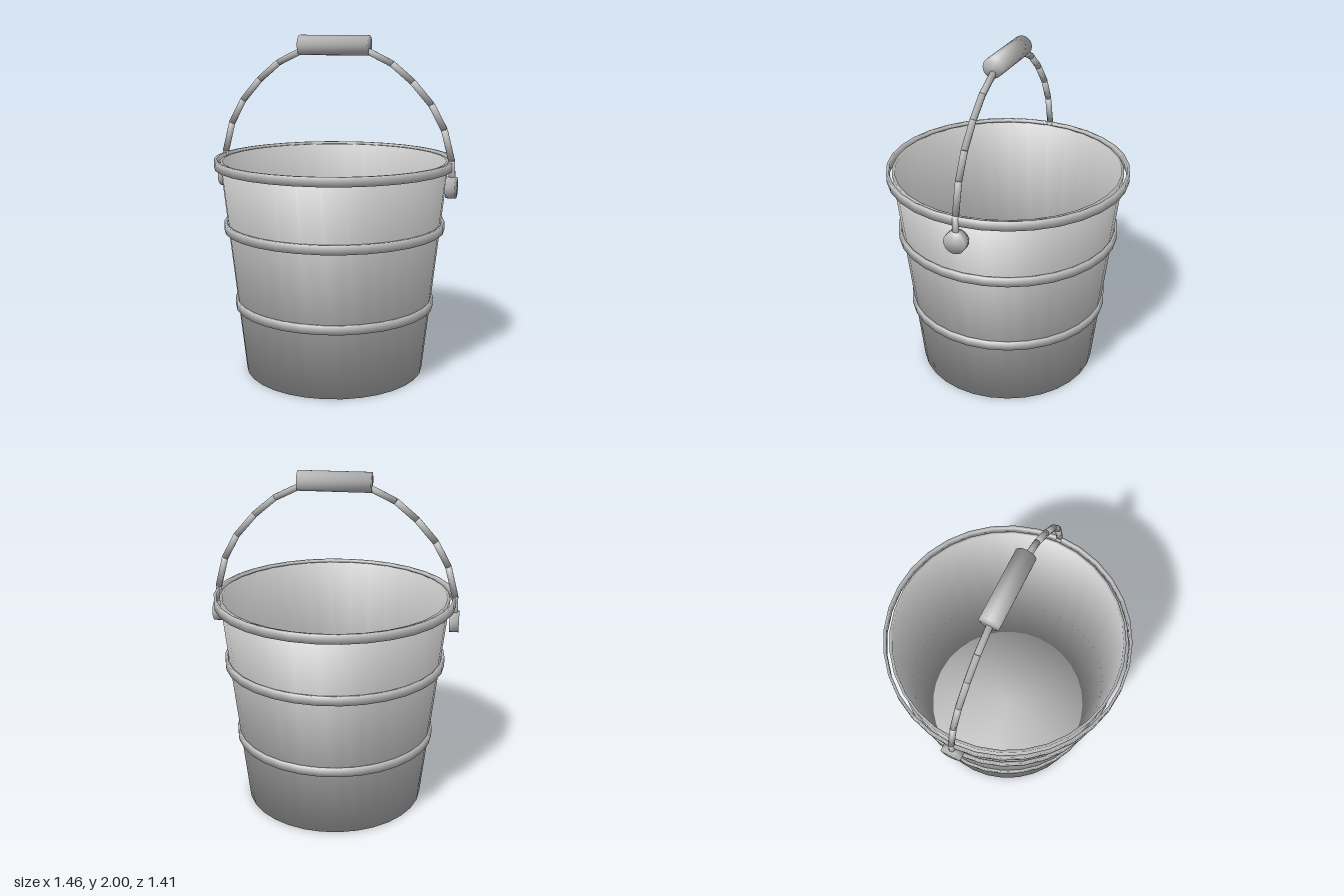
import * as THREE from 'three';

const metal = new THREE.MeshStandardMaterial({ color: 0xc0c0c0 });
metal.name = 'grey metal';

// Lathe of [radius, height] pairs whose edges are shaded softly,
// every ring taking the even average of its two neighbouring faces
function softLathe(profile, name, sides = 32) {
  const points = profile.map(([r, y]) => new THREE.Vector2(r, y));
  const geometry = new THREE.LatheGeometry(points, sides);
  const last = points.length - 1;
  const closed = points[0].equals(points[last]);
  const faces = points.slice(1).map((p, i) => {
    const d = p.clone().sub(points[i]).normalize();
    return new THREE.Vector2(d.y, -d.x);
  });
  const rings = points.map((p, j) => {
    const before = faces[j - 1] ?? faces[closed ? last - 1 : 0];
    const after = faces[j] ?? faces[closed ? 0 : last - 1];
    return before.clone().add(after).normalize();
  });
  const normal = geometry.attributes.normal;
  for (let i = 0; i < normal.count; i++) {
    const ring = rings[i % points.length];
    const a = (Math.floor(i / points.length) / sides) * Math.PI * 2;
    normal.setXYZ(i, ring.x * Math.sin(a), ring.y, ring.x * Math.cos(a));
  }
  const mesh = new THREE.Mesh(geometry, metal);
  mesh.name = name;
  return mesh;
}

// Hollow ring with a wall of even thickness, open at both ends
function sleeve(bottomRadius, topRadius, thickness, y0, y1, name) {
  return softLathe([
    [bottomRadius - thickness, y0], [bottomRadius, y0],
    [topRadius, y1], [topRadius - thickness, y1],
    [bottomRadius - thickness, y0],
  ], name);
}

// Solid rod between two points
function rod(from, to, radius, name, sides) {
  const a = new THREE.Vector3(...from);
  const axis = new THREE.Vector3(...to).sub(a);
  const length = axis.length();
  const mesh = softLathe([[0, 0], [radius, 0], [radius, length], [0, length]], name, sides);
  mesh.position.copy(a);
  mesh.quaternion.setFromUnitVectors(new THREE.Vector3(0, 1, 0), axis.normalize());
  return mesh;
}

export function createModel() {
  const group = new THREE.Group();
  group.name = 'bucket';

  // Tapered wall and the floor disc inside its foot
  group.add(sleeve(0.537, 0.673, 0.016, 0, 1.28, 'wall'));
  group.add(softLathe([[0, 0], [0.524, 0], [0.526, 0.03], [0, 0.03]], 'floor'));

  // Rim and the two reinforcing hoops
  group.add(sleeve(0.706, 0.706, 0.016, 1.24, 1.292, 'rim'));
  group.add(sleeve(0.655, 0.655, 0.016, 0.866, 0.918, 'upperHoop'));
  group.add(sleeve(0.597, 0.597, 0.016, 0.4, 0.452, 'lowerHoop'));

  // Jointed bail and round lugs, mirrored to both sides
  const bail = new THREE.Group();
  bail.name = 'bail';
  const joints = [
    [0.705, 1.16], [0.698, 1.3], [0.652, 1.475], [0.575, 1.615],
    [0.465, 1.74], [0.345, 1.84], [0.2, 1.91],
  ];
  for (const side of [1, -1]) {
    for (let i = 1; i < joints.length; i++) {
      const [x0, y0] = joints[i - 1];
      const [x1, y1] = joints[i];
      bail.add(rod([side * x0, y0, 0], [side * x1, y1, 0], 0.019, 'bailSegment', 10));
    }
    const name = side > 0 ? 'leftLug' : 'rightLug';
    group.add(rod([side * 0.673, 1.148, 0], [side * 0.728, 1.148, 0], 0.063, name, 20));
  }
  group.add(bail);

  // Hand grip
  group.add(rod([-0.21, 1.942, 0], [0.21, 1.942, 0], 0.058, 'grip', 20));

  return group;
}
